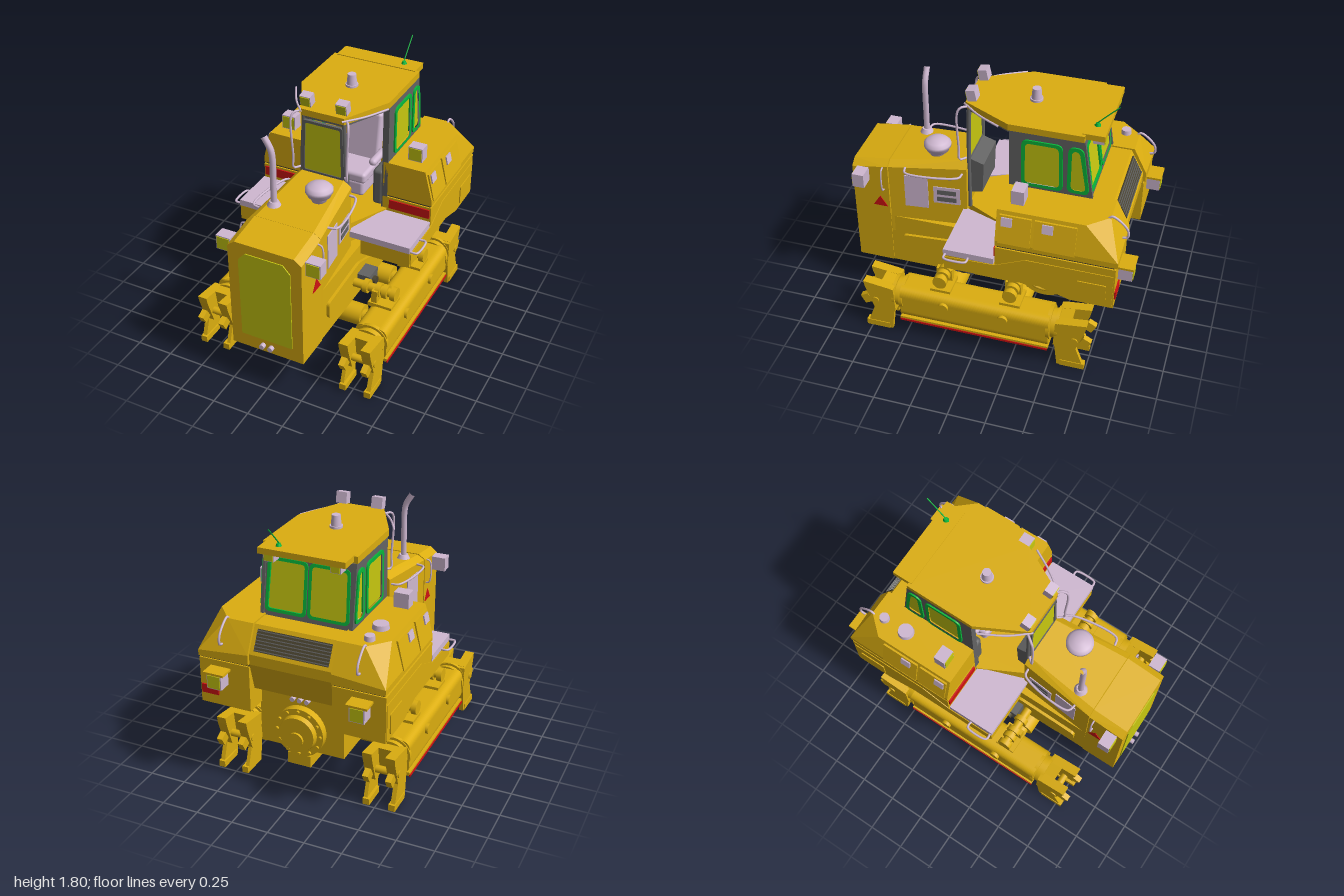
import * as THREE from 'three';
import { ConvexGeometry } from 'three/addons/geometries/ConvexGeometry.js';
import { RoundedBoxGeometry } from 'three/addons/geometries/RoundedBoxGeometry.js';

const mat = (color, flat = false) => new THREE.MeshStandardMaterial({ color, flatShading: flat });
const YEL = mat(0xdcae10), LIL = mat(0xd0b9d2), GLASS = mat(0xc8c810), GREY = mat(0x646464),
  GREEN = mat(0x08b83c), RED = mat(0xd01212), DARK = mat(0x4a4430);
const V = (x, y, z) => new THREE.Vector3(x, y, z);

export function createModel() {
  const root = new THREE.Group();
  root.name = 'crawlerTractor';

  const add = (name, geo, m, x = 0, y = 0, z = 0, rx = 0, ry = 0, rz = 0) => {
    const mesh = new THREE.Mesh(geo, m);
    mesh.name = name;
    mesh.position.set(x, y, z);
    mesh.rotation.set(rx, ry, rz);
    root.add(mesh);
    return mesh;
  };
  const both = f => [1, -1].forEach(f);
  // box given by its limits
  const box = (name, m, x0, x1, y0, y1, z0, z1) => add(name,
    new THREE.BoxGeometry(Math.abs(x1 - x0), y1 - y0, Math.abs(z1 - z0)), m, (x0 + x1) / 2, (y0 + y1) / 2, (z0 + z1) / 2);
  const cyl = (name, m, axis, r0, r1, len, x, y, z, seg = 28) => {
    const g = new THREE.CylinderGeometry(r1, r0, len, seg);
    if (axis === 'x') g.rotateZ(-Math.PI / 2);
    if (axis === 'z') g.rotateX(Math.PI / 2);
    return add(name, g, m, x, y, z);
  };
  const hull = (name, m, pts) => add(name, new ConvexGeometry(pts.map(p => V(...p))), m);
  const bar = (name, m, r, pts) => add(name,
    new THREE.TubeGeometry(new THREE.CatmullRomCurve3(pts.map(p => V(...p)), false, 'centripetal'), 24, r, 8), m);
  // polygon with rounded corners
  const poly = (pts, r = 0, C = THREE.Shape) => {
    const s = new C(), p = pts.map(q => new THREE.Vector2(...q)), n = p.length;
    p.forEach((c, i) => {
      const toward = q => c.clone().add(q.clone().sub(c).setLength(r));
      const a = r ? toward(p[(i + n - 1) % n]) : c, b = r ? toward(p[(i + 1) % n]) : c;
      i ? s.lineTo(a.x, a.y) : s.moveTo(a.x, a.y);
      if (r) s.quadraticCurveTo(c.x, c.y, b.x, b.y);
    });
    s.closePath();
    return s;
  };
  const ext = (shape, depth) => new THREE.ExtrudeGeometry(shape, { depth, bevelEnabled: false });
  // (z, y) outline extruded from x0 to x1
  const side = (name, m, shape, x0, x1) =>
    add(name, ext(shape, Math.abs(x1 - x0)).rotateY(-Math.PI / 2), m, Math.max(x0, x1));
  const shrink = (pts, w) => {
    const cx = pts.reduce((a, p) => a + p[0], 0) / pts.length, cy = pts.reduce((a, p) => a + p[1], 0) / pts.length;
    return pts.map(([x, y]) => [x - Math.sign(x - cx) * w, y - Math.sign(y - cy) * w]);
  };
  const ring = (pts, w, r) => {
    const s = poly(pts, r);
    s.holes.push(poly(shrink(pts, w), r * 0.7, THREE.Path));
    return s;
  };
  const lamp = (name, x, y, z, w, d, dir = 1, tilt = 0) => {
    add(name, new THREE.BoxGeometry(w, w, d), LIL, x, y, z, tilt);
    add(name + 'Lens', new THREE.BoxGeometry(w * 0.86, w * 0.86, 0.01), GLASS,
      x, y - dir * Math.sin(tilt) * d / 2, z + dir * Math.cos(tilt) * d / 2, tilt);
  };

  // hood: nose and tapering rear half
  const section = (z, w, y0, y1, y2) => [-1, 1].flatMap(s => [[s * w, y0, z], [s * w, y1, z], [s * (w - 0.05), y2, z]]);
  hull('hoodNose', YEL, [...section(0.97, 0.255, 0.29, 1.05, 1.09), ...section(0.72, 0.255, 0.29, 1.09, 1.125)]);
  hull('hoodRear', YEL, [...section(0.715, 0.252, 0.55, 1.09, 1.122), ...section(0.19, 0.2, 0.6, 1.14, 1.185)]);
  add('grille', ext(poly([[-0.18, 0.39], [0.18, 0.39], [0.18, 0.97], [0.13, 1.025], [-0.13, 1.025], [-0.18, 0.97]]), 0.01), GLASS, 0, 0, 0.967);
  both(s => cyl('towPin', LIL, 'z', 0.018, 0.018, 0.03, s * 0.03, 0.34, 0.985, 12));

  // chassis, cross tubes and rear drive
  box('chassis', YEL, -0.25, 0.25, 0.29, 0.68, 0.72, -0.72);
  box('rearHousing', YEL, -0.29, 0.29, 0.31, 0.75, -0.25, -0.75);
  [0.27, -0.21].forEach(z => {
    cyl('crossTube', YEL, 'x', 0.075, 0.075, 0.68, 0, 0.2, z);
    cyl('crossShaft', YEL, 'x', 0.045, 0.045, 0.9, 0, 0.2, z);
    box('tubeSaddle', YEL, -0.18, 0.18, 0.2, 0.32, z + 0.06, z - 0.06);
  });
  cyl('rearDriveRim', YEL, 'z', 0.17, 0.17, 0.06, 0, 0.46, -0.77, 36);
  cyl('rearDriveHub', YEL, 'z', 0.12, 0.13, 0.05, 0, 0.46, -0.81, 36);
  cyl('rearDriveCap', YEL, 'z', 0.05, 0.05, 0.03, 0, 0.43, -0.835);
  for (let i = 0; i < 12; i++) {
    const a = i * Math.PI / 6;
    cyl('rimBolt', YEL, 'z', 0.012, 0.012, 0.02, 0.15 * Math.cos(a), 0.46 + 0.15 * Math.sin(a), -0.805, 8);
  }
  for (let i = -1; i <= 1; i++) cyl('hydraulicPort', LIL, 'z', 0.016, 0.016, 0.04, i * 0.05, 0.68, -0.765, 12);
  box('rearHitch', YEL, -0.08, 0.08, 0.22, 0.3, -0.6, -0.8);

  both(s => {
    // chassis side details
    cyl('finalDrive', YEL, 'x', 0.18, 0.18, 0.06, s * 0.29, 0.48, -0.38, 36);
    add('finalDriveRing', new THREE.TorusGeometry(0.13, 0.012, 8, 32), YEL, s * 0.32, 0.48, -0.38, 0, Math.PI / 2);
    cyl('finalDriveCap', YEL, 'x', 0.07, 0.07, 0.03, s * 0.33, 0.48, -0.38);
    side('frameCover', YEL, poly([[0.64, 0.42], [0.64, 0.54], [0.2, 0.57], [0, 0.5], [-0.1, 0.36], [0.5, 0.36]], 0.03), s * 0.25, s * 0.27);
    box('sideMount', GREY, s * 0.25, s * 0.36, 0.39, 0.5, 0.23, 0.1);
    cyl('mountPin', DARK, 'x', 0.03, 0.03, 0.03, s * 0.37, 0.44, 0.17);

    // track frame
    const beam = poly([[-0.11, 0.13], [0.11, 0.13], [0.11, 0.37], [-0.11, 0.37]], 0.06);
    add('trackFrame', ext(beam, 1.03), YEL, s * 0.52, 0, -0.49);
    box('trackFlange', YEL, s * 0.4, s * 0.635, 0.115, 0.14, 0.54, -0.49);
    box('redStrip', RED, s * 0.63, s * 0.64, 0.11, 0.125, 0.54, -0.49);
    [0.23, -0.18].forEach(z => cyl('framePlug', YEL, 'x', 0.035, 0.035, 0.03, s * 0.635, 0.3, z));
    [0.27, -0.21].forEach(z => {
      cyl('rollerShaft', YEL, 'x', 0.03, 0.03, 0.3, s * 0.42, 0.46, z);
      [0.36, 0.45, 0.5, 0.56].forEach((x, i) => cyl('carrierRoller', YEL, 'x', 0.048, 0.048, 0.035, s * x, 0.46, z, 20));
      box('rollerBracket', YEL, s * 0.42, s * 0.46, 0.34, 0.48, z + 0.06, z - 0.05);
      box('rollerFoot', YEL, s * 0.4, s * 0.57, 0.36, 0.39, z + 0.07, z - 0.07);
    });
    // forked ends, same at front and rear about z = 0.025
    [1, -1].forEach(e => {
      const Z = d => 0.025 + e * d;
      cyl('endCollar', YEL, 'z', 0.118, 0.118, 0.025, s * 0.52, 0.265, Z(0.51));
      cyl('endNeck', YEL, 'z', 0.1, 0.1, 0.07, s * 0.52, 0.265, Z(0.54));
      cyl('endCollar', YEL, 'z', 0.112, 0.112, 0.02, s * 0.52, 0.27, Z(0.565));
      side('forkBlock', YEL, poly([[Z(0.55), 0.17], [Z(0.56), 0.36], [Z(0.66), 0.375], [Z(0.63), 0.17]]), s * 0.41, s * 0.63);
      [[0.41, 0.475], [0.565, 0.63]].forEach(([a, b]) => side('forkCheek', YEL,
        poly([[Z(0.58), 0.16], [Z(0.58), 0.365], [Z(0.77), 0.39], [Z(0.76), 0.34], [Z(0.7), 0.16]]), s * a, s * b));
      [[0.415, 0.44], [0.6, 0.63]].forEach(([a, b]) => {
        side('forkLeg', YEL, poly([[Z(0.58), 0], [Z(0.56), 0.17], [Z(0.7), 0.18], [Z(0.765), 0]]), s * a, s * b);
      });
      [0.425, 0.6].forEach(x => box('legFoot', YEL, s * (x - 0.01), s * (x + 0.035), 0, 0.045, Z(0.6), Z(0.765)));
      [0.445, 0.6].forEach(x => add('forkTab', new THREE.BoxGeometry(0.04, 0.07, 0.06), YEL, s * x, 0.225, Z(0.76), e * 0.5));
      cyl('forkPin', YEL, 'x', 0.025, 0.025, 0.235, s * 0.52, 0.24, Z(0.69), 14);
    });

    // lower fender with platform
    side('fender', YEL, poly([[0.21, 0.66], [0.21, 0.77], [-0.13, 0.77], [-0.13, 0.915], [-0.9, 0.915],
      [-0.9, 0.6], [-0.62, 0.6], [-0.42, 0.66]]), s * 0.28, s * 0.63);
    side('fenderPlate', YEL, poly([[0.2, 0.67], [0.2, 0.76], [-0.13, 0.77], [-0.33, 0.86], [-0.89, 0.86],
      [-0.89, 0.61], [-0.62, 0.61], [-0.42, 0.67]]), s * 0.63, s * 0.635);
    side('fenderHatch', YEL, poly([[-0.66, 0.64], [-0.66, 0.78], [-0.85, 0.78], [-0.85, 0.64]], 0.015), s * 0.63, s * 0.642);
    hull('stepPlate', LIL, [0.77, 0.815].flatMap(y => [[s * 0.3, y, -0.12], [s * 0.63, y, -0.12], [s * 0.63, y, 0.215], [s * 0.18, y, 0.215]]));
    bar('stepHandle', LIL, 0.008, [[s * 0.62, 0.78, 0.2], [s * 0.67, 0.78, 0.2], [s * 0.68, 0.78, 0.18],
      [s * 0.68, 0.78, 0.07], [s * 0.67, 0.78, 0.05], [s * 0.62, 0.78, 0.05]]);
    box('redBar', RED, s * 0.33, s * 0.62, 0.835, 0.9, -0.12, -0.14);

    // upper tank
    const tank = [[0.28, 0.93, -0.13], [0.63, 0.93, -0.13], [0.63, 0.93, -0.91], [0.28, 0.93, -0.91],
      [0.63, 0.97, -0.13], [0.63, 0.97, -0.91], [0.28, 1, -0.91], [0.28, 1.18, -0.13], [0.575, 1.18, -0.13],
      [0.575, 1.18, -0.69], [0.46, 1.18, -0.82], [0.28, 1.18, -0.82]];
    hull('tank', YEL, tank.map(([x, y, z]) => [s * x, y, z]));
    box('tankSeam', DARK, s * 0.28, s * 0.62, 0.91, 0.935, -0.14, -0.89);
    [[-0.15, -0.355], [-0.375, -0.64]].forEach(([a, b]) => hull('tankDoor', YEL,
      [a, b].flatMap(z => [[s * 0.638, 0.965, z], [s * 0.594, 1.155, z], [s * 0.57, 1.155, z], [s * 0.6, 0.965, z]])));
    [-0.2, -0.46].forEach(z => add('doorLatch', new THREE.BoxGeometry(0.01, 0.06, 0.07), LIL, s * 0.608, 1.115, z, 0, 0, s * 0.23));
    bar('rearHandle', LIL, 0.008, [[s * 0.46, 1.17, -0.8], [s * 0.46, 1.19, -0.83], [s * 0.46, 1.11, -0.925],
      [s * 0.46, 1.05, -0.93], [s * 0.46, 1.04, -0.9]]);

    // lamps
    lamp('fenderLamp', s * 0.47, 1.245, -0.245, 0.1, 0.08);
    cyl('lampStem', LIL, 'y', 0.012, 0.012, 0.04, s * 0.47, 1.185, -0.245, 10);
    lamp('hoodLamp', s * 0.31, 1.015, 0.89, 0.1, 0.08);
    lamp('roofLamp', s * 0.125, 1.69, 0.16, 0.075, 0.06, 1, 0.2);
    lamp('rearLamp', s * 0.48, 0.81, -0.945, 0.1, 0.09, -1);
    box('lampShelf', YEL, s * 0.41, s * 0.55, 0.86, 0.875, -0.88, -1);

    // hood side fittings
    const onHood = (name, m, y, z, h, w) => add(name, new THREE.BoxGeometry(0.012, h, w), m,
      s * (0.2 + (z - 0.19) * 0.1), y, z, 0, s * 0.1);
    onHood('sideVent', LIL, 0.915, 0.53, 0.25, 0.16);
    onHood('ventFrame', LIL, 0.91, 0.325, 0.13, 0.18);
    [0.88, 0.935].forEach(y => onHood('ventSlot', GREY, y, 0.325, 0.035, 0.13).translateX(s * 0.003));
    side('warningTriangle', RED, poly([[0.835, 0.76], [0.735, 0.76], [0.785, 0.84]]), s * 0.25, s * 0.26);
    bar('hoodRail', LIL, 0.008, [[s * 0.2, 1.1, 0.22], [s * 0.25, 1.1, 0.23], [s * 0.295, 1.1, 0.58], [s * 0.24, 1.1, 0.6]]);
    bar('noseRail', LIL, 0.006, [[s * 0.25, 1.08, 0.755], [s * 0.28, 1.07, 0.755], [s * 0.28, 0.91, 0.755], [s * 0.25, 0.9, 0.755]]);
  });
  box('rearReflector', RED, 0.5, 0.62, 0.67, 0.73, -0.89, -0.91);
  [[-0.56, 0.055], [-0.73, 0.035]].forEach(([z, r]) => cyl('fillerCap', LIL, 'y', r, r * 0.9, 0.035, -0.45, 1.195, z));

  // rear deck behind the cab with cooling grille
  hull('rearDeck', YEL, [-0.3, 0.3].flatMap(x => [[x, 0.74, -0.55], [x, 0.74, -0.84], [x, 0.93, -0.89], [x, 1, -0.89], [x, 1.17, -0.8], [x, 1.17, -0.55]]));
  const tilt = -Math.atan2(0.09, 0.17);
  add('rearGrille', new THREE.BoxGeometry(0.5, 0.14, 0.012), DARK, 0, 1.085, -0.847, -tilt);
  for (let i = -3; i <= 3; i++) add('grilleSlat', new THREE.BoxGeometry(0.5, 0.006, 0.02), GREY, 0, 1.085 + i * 0.018, -0.847 + i * 0.0095, -tilt);

  // cab floor, walls and roof
  const foot = [[0.15, 0.2], [0.315, -0.12], [0.315, -0.6]];
  const slab = (name, m, y0, y1, k) => hull(name, m, foot.flatMap(([x, z]) => [1, -1].flatMap(s => [[s * x * k, y0, z * k], [s * x * k, y1, z * k]])));
  slab('cabFloor', YEL, 0.66, 0.825, 0.98);
  slab('roof', YEL, 1.59, 1.635, 1);
  slab('roofLiner', GREY, 1.57, 1.59, 0.95);
  box('roofVisor', YEL, -0.29, 0.29, 1.6, 1.64, -0.58, -0.72);
  both(s => lamp('visorLamp', s * 0.22, 1.59, -0.675, 0.07, 0.07, -1));
  const win1 = [[-0.21, 1.2], [-0.48, 1.2], [-0.47, 1.545], [-0.21, 1.545]];
  const win2 = [[-0.505, 1.205], [-0.65, 1.205], [-0.6, 1.545], [-0.505, 1.545]];
  both(s => {
    const wall = poly([[-0.13, 0.82], [-0.67, 0.82], [-0.67, 1.18], [-0.605, 1.59], [-0.13, 1.59]]);
    [win1, win2].forEach((w, i) => {
      wall.holes.push(poly(shrink(w, 0.01), 0.035, THREE.Path));
      side('windowSeal', GREEN, ring(w, 0.024, 0.045), s * 0.285, s * 0.322);
      side('sideGlass', GLASS, poly(shrink(w, 0.015), 0.03), s * 0.298, s * 0.306);
    });
    side('cabSideWall', GREY, wall, s * 0.29, s * 0.312);
    box('doorPost', GREY, s * 0.27, s * 0.312, 0.82, 1.59, -0.13, -0.16);
    bar('frontPillar', GREY, 0.014, [[s * 0.16, 0.82, 0.18], [s * 0.155, 1.2, 0.185], [s * 0.14, 1.59, 0.18]]);
    bar('grabBar', LIL, 0.008, [[s * 0.16, 1.21, 0.2], [s * 0.19, 1.21, 0.235], [s * 0.19, 1.3, 0.24],
      [s * 0.2, 1.58, 0.24], [s * 0.19, 1.61, 0.22], [s * 0.16, 1.61, 0.18]]);
    bar('roofRail', LIL, 0.007, [[s * 0.33, 1.615, -0.07], [s * 0.24, 1.615, 0.09], [s * 0.14, 1.615, 0.21]]);
  });
  const front = [[-0.15, 1.18], [0.15, 1.18], [0.14, 1.56], [-0.14, 1.56]];
  add('windshieldFrame', ext(ring(front, 0.018, 0.02), 0.02), GREY, 0, 0, 0.18);
  add('windshield', ext(poly(shrink(front, 0.015)), 0.008), GLASS, 0, 0, 0.186);
  // rear wall leaning forward, two panes
  const lean = 0.15, rear = (name, m, shape, d, dz) => add(name, ext(shape, d), m, 0, 1.18, -0.66 + dz, lean);
  const rearWall = poly([[-0.31, -0.1], [0.31, -0.1], [0.3, 0.41], [-0.3, 0.41]]);
  both(s => {
    const w = [[s * 0.005, 0.02], [s * 0.285, 0.02], [s * 0.275, 0.37], [s * 0.005, 0.37]];
    rearWall.holes.push(poly(shrink(w, 0.01), 0.03, THREE.Path));
    rear('rearSeal', GREEN, ring(w, 0.02, 0.035), 0.035, -0.007);
    rear('rearGlass', GLASS, poly(shrink(w, 0.012), 0.025), 0.008, 0.006);
  });
  rear('cabRearWall', GREY, rearWall, 0.02, 0);

  // seat, consoles and dash
  const soft = (name, m, w, h, d, x, y, z, rx = 0) => add(name, new RoundedBoxGeometry(w, h, d, 3, 0.025), m, x, y, z, rx);
  soft('seatBase', LIL, 0.22, 0.12, 0.22, 0, 0.88, -0.29);
  soft('seatCushion', LIL, 0.27, 0.08, 0.28, 0, 0.98, -0.29);
  soft('seatBack', LIL, 0.26, 0.36, 0.08, 0, 1.17, -0.43, -0.15);
  both(s => {
    soft('armrest', LIL, 0.055, 0.05, 0.2, s * 0.165, 1.1, -0.29);
    soft('sideConsole', GREY, 0.08, 0.27, 0.3, s * 0.23, 0.95, -0.3);
  });
  hull('dash', GREY, [-0.14, 0.14].flatMap(x => [[x, 0.92, 0.18], [x, 0.94, 0.1], [x, 1.16, 0.09], [x, 1.19, 0.18]]));

  // exhaust, air cleaner, beacon and antenna
  cyl('exhaustBase', LIL, 'y', 0.045, 0.03, 0.03, -0.145, 1.155, 0.58);
  bar('exhaustPipe', LIL, 0.021, [[-0.145, 1.14, 0.58], [-0.145, 1.3, 0.58], [-0.145, 1.48, 0.58], [-0.155, 1.54, 0.58], [-0.2, 1.62, 0.58]]);
  add('airCleaner', new THREE.LatheGeometry([[0, 1.13], [0.05, 1.13], [0.05, 1.18], [0.075, 1.19], [0.075, 1.215], [0.09, 1.22],
    [0.09, 1.24], [0.07, 1.26], [0.03, 1.275], [0, 1.275]].map(p => new THREE.Vector2(...p)), 32), LIL, 0.09, 0, 0.42);
  cyl('beaconBase', LIL, 'y', 0.042, 0.042, 0.015, 0, 1.642, -0.22);
  cyl('beacon', LIL, 'y', 0.035, 0.028, 0.08, 0, 1.68, -0.22);
  cyl('antennaBase', GREEN, 'y', 0.022, 0.012, 0.025, 0.18, 1.645, -0.65);
  bar('antenna', GREEN, 0.004, [[0.18, 1.64, -0.63], [0.18, 1.72, -0.705], [0.18, 1.795, -0.78]]);

  return root;
}
